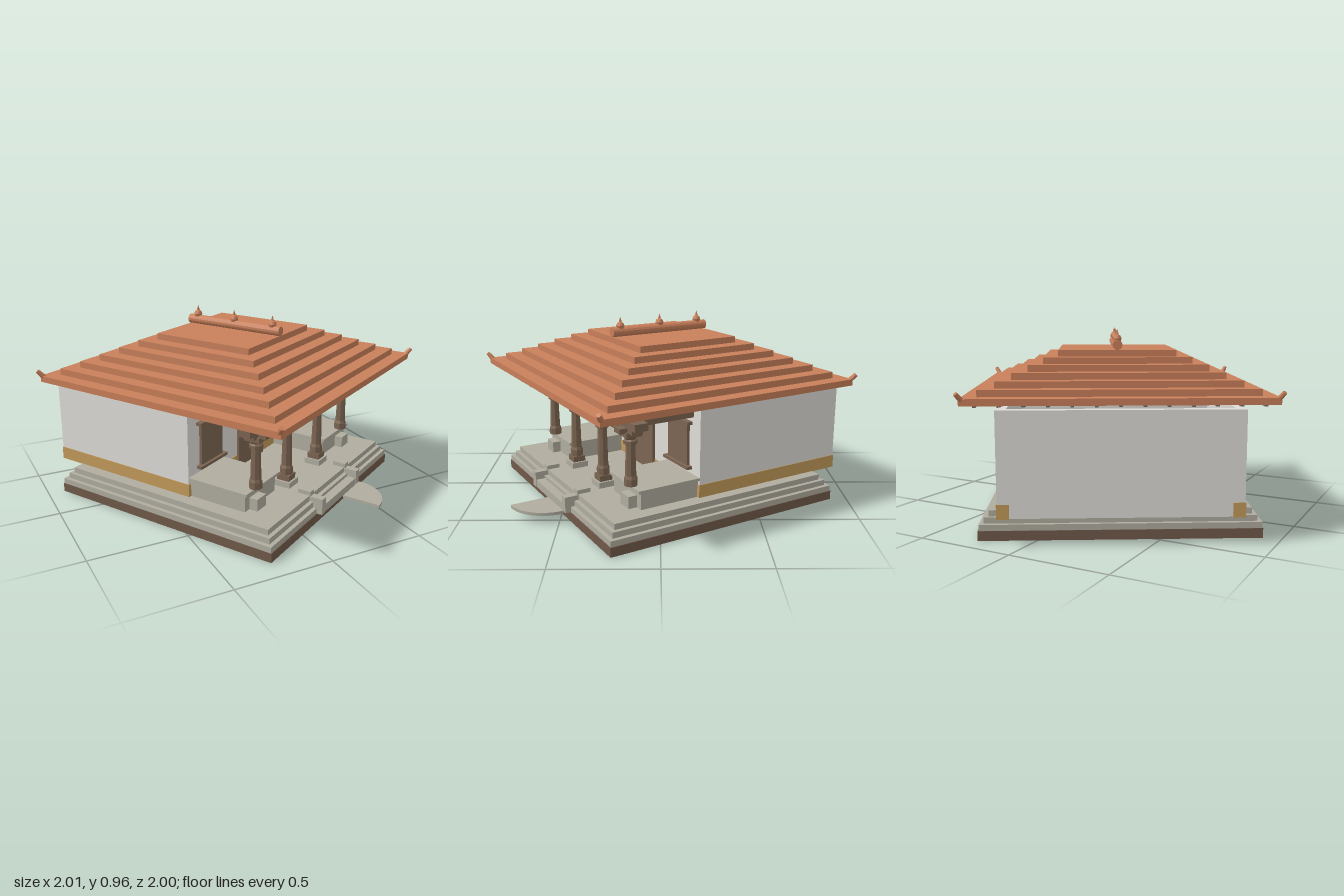
import * as THREE from 'three';

const mat = (color) => new THREE.MeshStandardMaterial({ color, flatShading: true });
const M = {
  roof: mat(0xc87f5a), wood: mat(0x7c6552), stone: mat(0xb0ac9f),
  plinth: mat(0x705949), wall: mat(0xdedcd7), band: mat(0xc39a5a),
};

export function createModel() {
  const root = new THREE.Group();
  root.name = 'pavilion';
  const house = new THREE.Group();
  house.name = 'house';
  house.rotation.y = Math.PI / 6;
  root.add(house);

  const add = (name, geo, m, x = 0, y = 0, z = 0, parent = house) => {
    const mesh = new THREE.Mesh(geo, m);
    mesh.name = name;
    mesh.position.set(x, y, z);
    parent.add(mesh);
    return mesh;
  };
  // box given by its extents
  const box = (name, m, x0, x1, y0, y1, z0, z1, parent = house) =>
    add(name, new THREE.BoxGeometry(x1 - x0, y1 - y0, z1 - z0), m,
      (x0 + x1) / 2, (y0 + y1) / 2, (z0 + z1) / 2, parent);

  // stepped plinth
  box('plinth', M.plinth, -0.67, 0.665, 0, 0.047, -0.67, 0.642);
  for (let i = 0; i < 3; i++) {
    const d = i * 0.021;
    box('plinthStep', M.stone, -0.667 + d, 0.66 - d, 0.047 + i * 0.029, 0.076 + i * 0.029, -0.667 + d, 0.638 - d);
  }

  // four walls, open above and below
  const T = 0.045, W = 0.56, back = -0.77, front = 0.1;
  box('backWall', M.wall, -W, W, 0.134, 0.625, back, back + T);
  box('frontWall', M.wall, -W, W, 0.134, 0.625, front - T, front);
  for (const s of [-1, 1]) {
    const a = s * W, b = s * (W - T);
    box('sideWall', M.wall, Math.min(a, b), Math.max(a, b), 0.134, 0.625, back + T, front - T);
    const c = s * (W + 0.003), d = s * (W - 0.055);
    box('sideBand', M.band, Math.min(c, d), Math.max(c, d), 0.132, 0.2, back - 0.004, front - 0.02);
  }
  box('frontBand', M.band, -W - 0.003, W + 0.003, 0.132, 0.2, front - T - 0.004, front + 0.004);

  // door and windows
  box('door', M.wood, -0.125, 0.125, 0.134, 0.565, front - 0.01, front + 0.015);
  for (const s of [-1, 1]) {
    const x = s * 0.375;
    box('window', M.wood, x - 0.09, x + 0.09, 0.275, 0.49, front - 0.01, front + 0.015);
    for (const y of [0.26, 0.49])
      box('windowLedge', M.wood, x - 0.115, x + 0.115, y, y + 0.015, front - 0.01, front + 0.03);
  }

  // porch benches
  for (const s of [-1, 1]) {
    const x = s * 0.405;
    box('bench', M.stone, x - 0.14, x + 0.14, 0.134, 0.222, front, 0.42);
    box('benchTop', M.stone, x - 0.155, x + 0.155, 0.222, 0.236, front, 0.437);
  }

  // porch pillars
  const pillar = (x, z, outer) => {
    const g = new THREE.Group();
    g.name = 'pillar';
    g.position.set(x, 0, z);
    house.add(g);
    const y0 = outer ? 0.236 : 0.195;
    if (outer) box('pillarBase', M.stone, -0.04, 0.04, 0.134, 0.195, -0.04, 0.035, g);
    else {
      box('pillarBase', M.stone, -0.045, 0.045, 0.134, 0.165, -0.045, 0.045, g);
      box('pillarBlock', M.wood, -0.034, 0.034, 0.165, y0, -0.034, 0.034, g);
    }
    const profile = [[0, y0], [0.033, y0], [0.033, y0 + 0.035], [0.027, y0 + 0.05],
      [0.023, 0.44], [0.034, 0.445], [0.034, 0.462], [0.026, 0.468], [0.045, 0.495], [0, 0.495]];
    add('pillarShaft', new THREE.LatheGeometry(profile.map(([r, y]) => new THREE.Vector2(r, y)), 8, Math.PI / 8), M.wood, 0, 0, 0, g);
    box('capitalPlate', M.wood, -0.042, 0.042, 0.485, 0.51, -0.042, 0.042, g);
    box('capitalArm', M.wood, -0.07, 0.07, 0.505, 0.53, -0.028, 0.028, g);
    box('capitalArm', M.wood, -0.028, 0.028, 0.505, 0.53, -0.07, 0.07, g);
  };
  for (const s of [-1, 1]) {
    pillar(s * 0.465, 0.43, true);
    pillar(s * 0.165, 0.43, false);
    box('sideBeam', M.wood, s * 0.465 - 0.034, s * 0.465 + 0.034, 0.53, 0.565, front, 0.41);
  }
  box('frontBeam', M.wood, -0.575, 0.575, 0.53, 0.567, 0.395, 0.465);

  // entrance step, side slabs and rounded threshold stone
  box('entranceStep', M.stone, -0.18, 0.18, 0.047, 0.088, 0.58, 0.665);
  for (const s of [-1, 1]) {
    box('stairSlab', M.stone, s * 0.2 - 0.02, s * 0.2 + 0.02, 0.047, 0.155, 0.53, 0.6);
    box('stairSlabFoot', M.stone, s * 0.2 - 0.02, s * 0.2 + 0.02, 0.047, 0.13, 0.6, 0.668);
  }
  const quarter = new THREE.Shape();
  quarter.moveTo(0, 0);
  quarter.lineTo(0.2, 0);
  quarter.absarc(0, 0, 0.2, 0, Math.PI / 2, false);
  quarter.lineTo(0, 0);
  const stone = add('thresholdStone',
    new THREE.ExtrudeGeometry(quarter, { depth: 0.016, bevelEnabled: false, curveSegments: 10 }), M.stone, 0.01, 0.06, 0.675);
  stone.rotation.x = Math.PI / 2;

  // stepped roof
  const tier = 0.0322;
  for (let i = 0; i < 7; i++) {
    const d = i * 0.0715, y = 0.636 + i * tier;
    box('roofTier', M.roof, -0.728 + d, 0.728 - d, y, y + tier, -0.71 + d, 0.71 - d);
  }
  // slim rafters under the eaves
  for (let i = -6; i <= 6; i++)
    box('rafter', M.wood, i * 0.11 - 0.008, i * 0.11 + 0.008, 0.628, 0.638, -0.7, 0.7);

  // upturned corner horns
  for (const sx of [-1, 1]) for (const sz of [-1, 1]) {
    const horn = add('cornerHorn', new THREE.CylinderGeometry(0.011, 0.015, 0.065, 8), M.roof, sx * 0.722, 0.67, sz * 0.704);
    const dir = new THREE.Vector3(sx, 1.5, sz).normalize();
    horn.quaternion.setFromUnitVectors(new THREE.Vector3(0, 1, 0), dir);
  }

  // ridge roll with three finials
  const ridge = add('ridgeRoll', new THREE.CylinderGeometry(0.025, 0.025, 0.57, 14), M.roof, 0, 0.886, 0);
  ridge.rotation.x = Math.PI / 2;
  const finial = [[0, 0.9], [0.017, 0.9], [0.022, 0.918], [0.016, 0.932], [0.007, 0.938], [0.006, 0.945], [0, 0.965]]
    .map(([r, y]) => new THREE.Vector2(r, y));
  for (const z of [-0.235, 0, 0.235])
    add('finial', new THREE.LatheGeometry(finial, 12), M.roof, 0, 0, z);

  return root;
}
